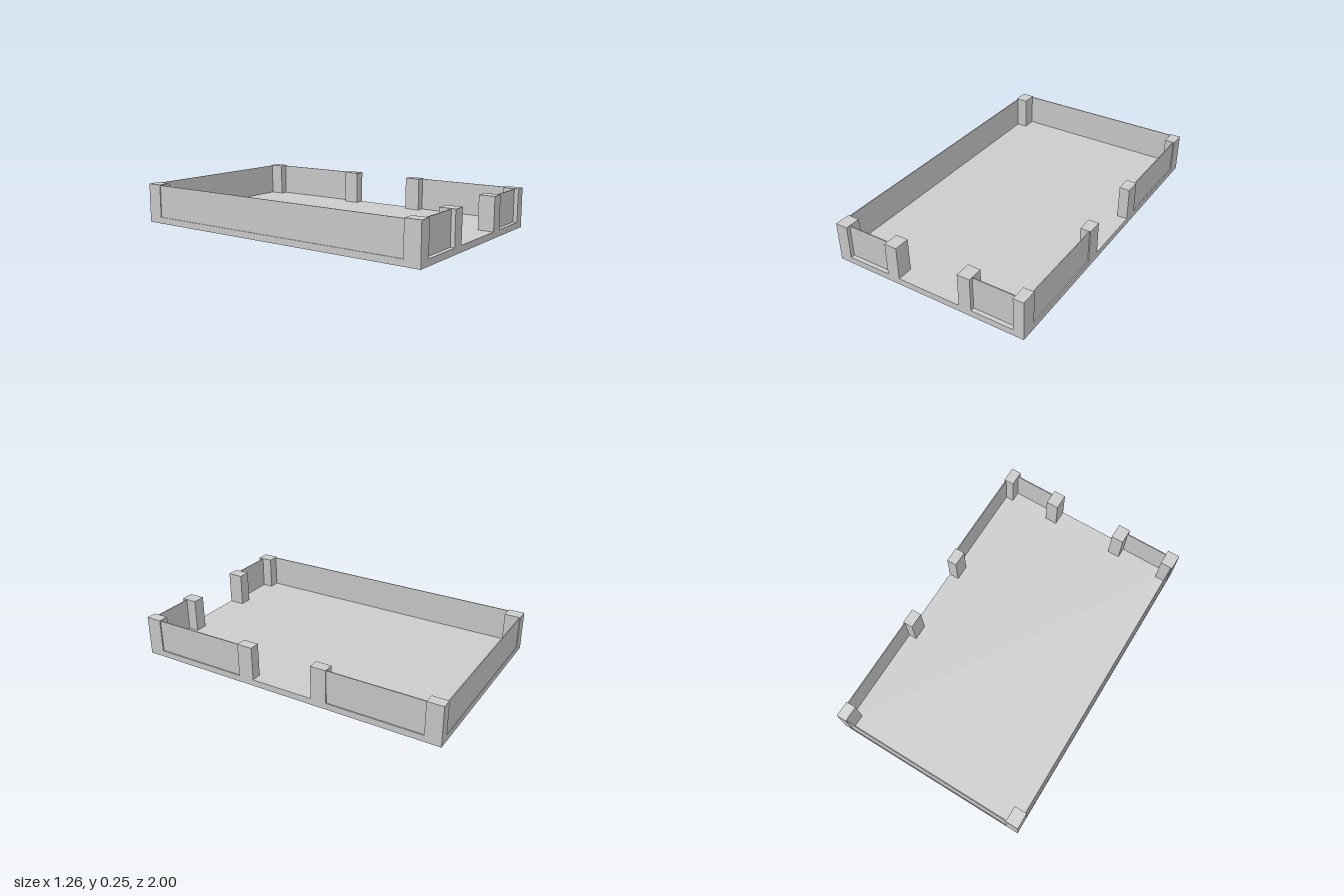
import * as THREE from 'three';

export function createModel() {
  const group = new THREE.Group();
  group.name = 'tray';
  const material = new THREE.MeshStandardMaterial({ color: 0xcccccc, flatShading: true });

  // Box given by its extents along each axis
  function block(name, [x0, x1], [y0, y1], [z0, z1]) {
    const mesh = new THREE.Mesh(new THREE.BoxGeometry(x1 - x0, y1 - y0, z1 - z0), material);
    mesh.position.set((x0 + x1) / 2, (y0 + y1) / 2, (z0 + z1) / 2);
    mesh.name = name;
    group.add(mesh);
  }

  const floorTop = 0.04;
  const postY = [floorTop, 0.25];
  const wallY = [floorTop, 0.246];
  const leftX = [0.565, 0.63];
  const rightX = [-0.63, -0.55];

  block('floor', [-0.63, 0.63], [0, floorTop], [-1, 1]);

  // Corner posts
  for (const z of [[-1, -0.9], [0.9, 1]]) {
    block('cornerPost', leftX, postY, z);
    block('cornerPost', rightX, postY, z);
  }

  // Posts either side of the front and side openings
  for (const x of [[-0.27, -0.19], [0.22, 0.3]]) block('frontOpeningPost', x, postY, [0.9, 1]);
  for (const z of [[-0.3, -0.2], [0.2, 0.3]]) block('sideOpeningPost', leftX, postY, z);

  // Thin wall panels set between the posts
  block('backWall', [-0.55, 0.565], wallY, [-0.997, -0.991]);
  block('rightWall', [-0.625, -0.619], wallY, [-0.9, 0.9]);
  for (const z of [[-0.9, -0.3], [0.3, 0.9]]) block('leftWall', [0.617, 0.623], wallY, z);
  for (const x of [[-0.55, -0.27], [0.3, 0.565]]) block('frontWall', x, wallY, [0.968, 0.974]);

  return group;
}
